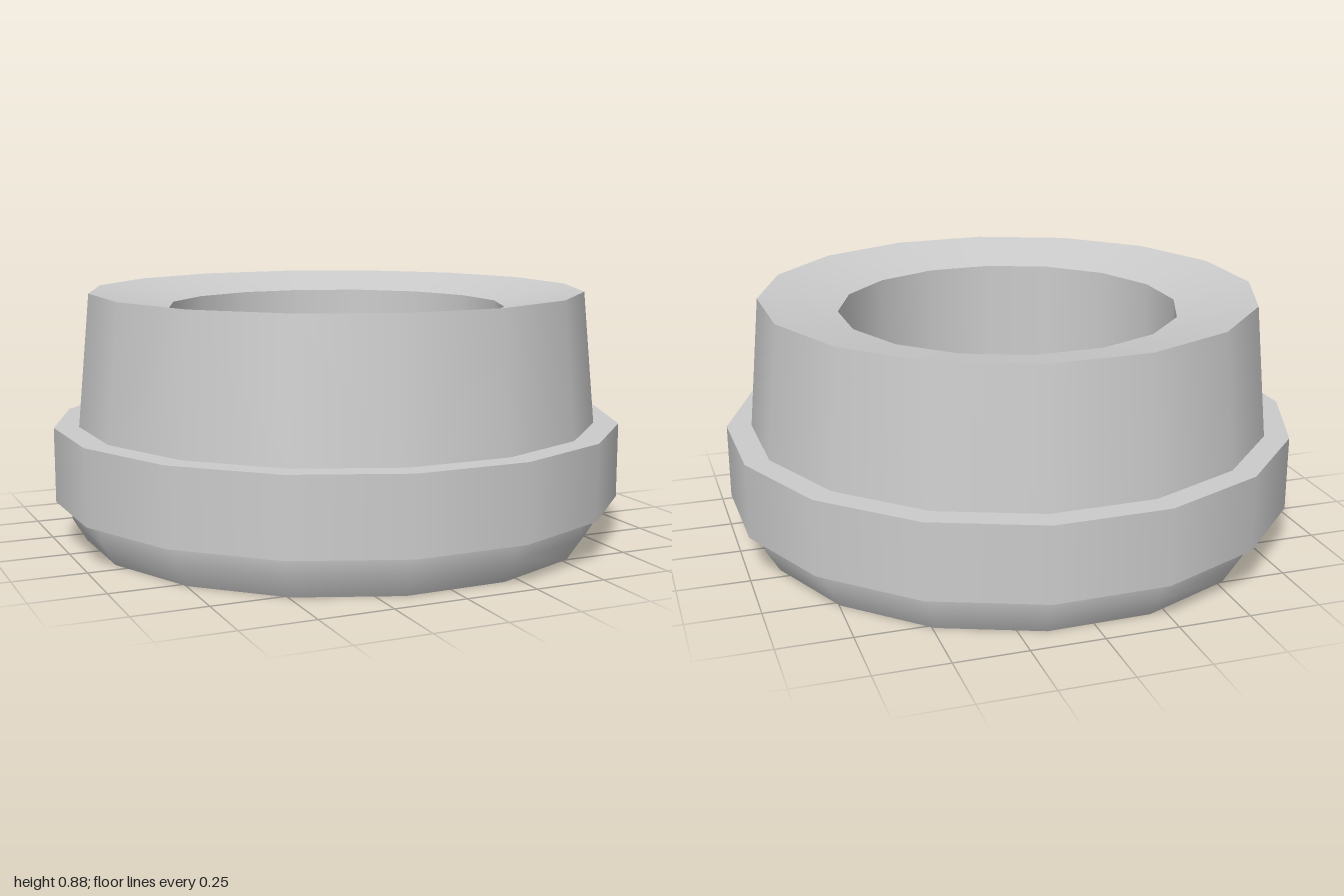
import * as THREE from 'three';
import { mergeGeometries } from 'three/addons/utils/BufferGeometryUtils.js';

const SIDES = 16;
const TURN = THREE.MathUtils.degToRad(12.4);

// Turns each profile strip into a ring; strips are smooth inside, sharp between them.
function turned(name, strips, material) {
  const rings = strips.map((strip) => new THREE.LatheGeometry(
    strip.map(([r, y]) => new THREE.Vector2(r, y)), SIDES, TURN));
  const mesh = new THREE.Mesh(mergeGeometries(rings), material);
  mesh.name = name;
  return mesh;
}

export function createModel() {
  const material = new THREE.MeshStandardMaterial({ color: 0xcccccc });
  const group = new THREE.Group();
  group.name = 'flangedCup';

  // Foot: recessed underside, conical bottom rim and a softly bevelled side
  group.add(turned('base', [
    [[0, 0.075], [0.615, 0.075]],
    [[0.615, 0.075], [0.912, 0]],
    [[0.912, 0], [0.96, 0.08], [0.965, 0.145]],
  ], material));

  // Wide band around the middle
  group.add(turned('collar', [
    [[0.965, 0.145], [1.0155, 0.145]],
    [[1.0155, 0.145], [1.0155, 0.41]],
    [[1.0155, 0.41], [0.928, 0.41]],
  ], material));

  // Tapered wall with a dished top
  group.add(turned('body', [
    [[0.928, 0.41], [0.883, 0.877]],
    [[0.883, 0.877], [0.605, 0.82]],
  ], material));

  // Straight bore and its flat floor
  group.add(turned('bore', [
    [[0.605, 0.82], [0.605, 0.44]],
    [[0.605, 0.44], [0, 0.44]],
  ], material));

  return group;
}
